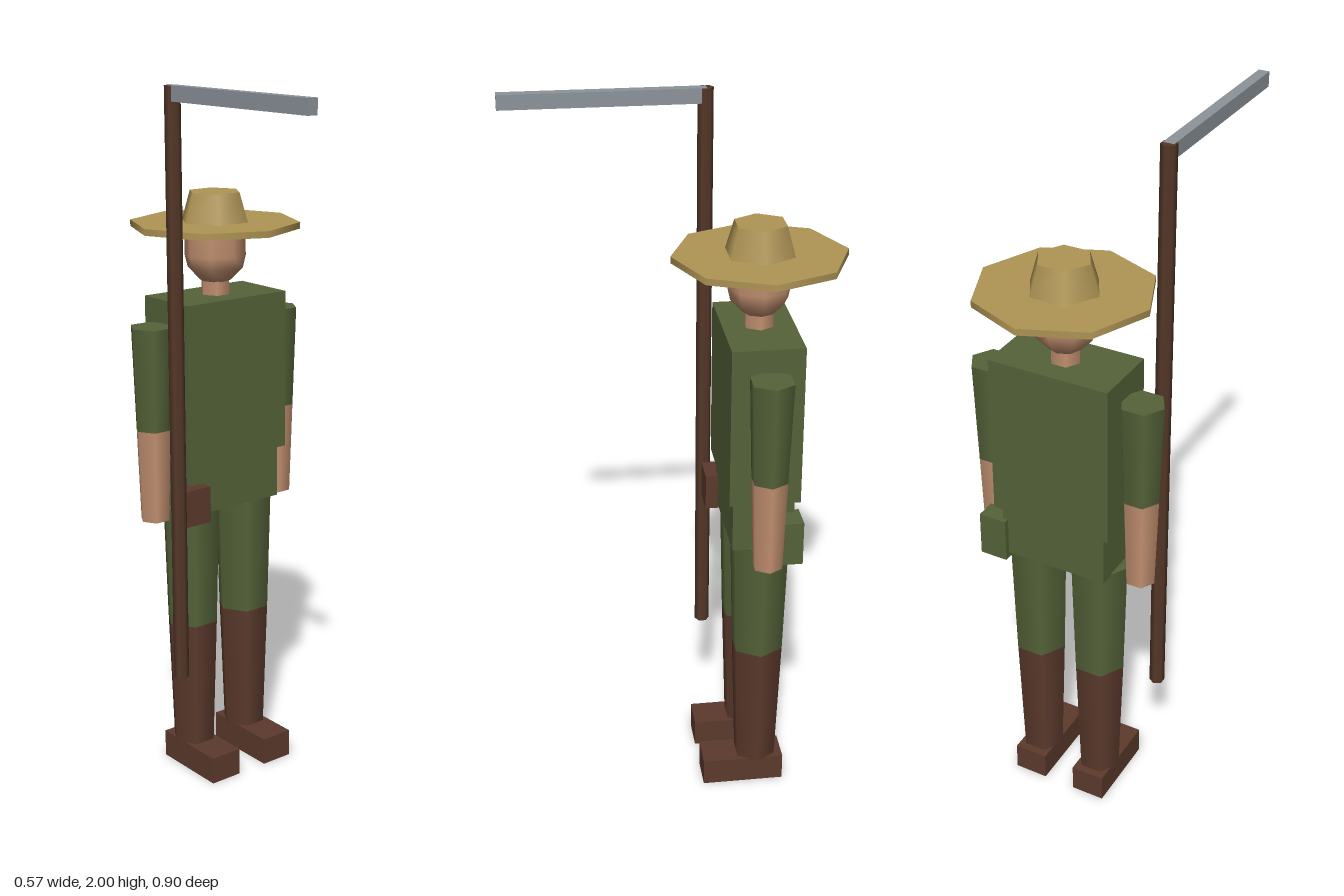
import * as THREE from 'three';

export function createModel() {
  const model = new THREE.Group();
  const mat = (name, color) => {
    const m = new THREE.MeshStandardMaterial({ color });
    m.name = name;
    return m;
  };
  const green = mat('olive cloth', 0x556339);
  const skin = mat('skin', 0xc29070);
  const straw = mat('straw', 0xb09555);
  const leather = mat('leather', 0x5c3a2c);
  const wood = mat('dark wood', 0x553828);
  const steel = mat('steel', 0x8c949a);
  const Z = -0.213; // depth of the body axis

  const add = (name, geometry, material, x, y, z) => {
    const mesh = new THREE.Mesh(geometry, material);
    mesh.name = name;
    mesh.position.set(x, y, z);
    model.add(mesh);
    return mesh;
  };
  // Box given by its lower and upper y and its centre in x and z
  const box = (name, material, w, d, y0, y1, x, z) =>
    add(name, new THREE.BoxGeometry(w, y1 - y0, d), material, x, (y0 + y1) / 2, z);
  // Tapered prism; turn sets where its corners point
  const taper = (name, material, rTop, rBottom, y0, y1, x, z = Z, sides = 6, turn = Math.PI / 6) => {
    const g = new THREE.CylinderGeometry(rTop, rBottom, y1 - y0, sides).rotateY(turn);
    return add(name, g, material, x, (y0 + y1) / 2, z);
  };

  // Trunk
  box('torso', green, 0.346, 0.196, 0.96, 1.415, 0, -0.212);
  box('hips', green, 0.31, 0.17, 0.81, 0.96, 0, -0.212);

  // Limbs, mirrored
  for (const [side, s] of [['left', 1], ['right', -1]]) {
    taper(side + 'Sleeve', green, 0.062, 0.052, 1.06, 1.35, s * 0.221);
    taper(side + 'Forearm', skin, 0.052, 0.043, 0.795, 1.06, s * 0.221);
    taper(side + 'Thigh', green, 0.087, 0.077, 0.46, 0.815, s * 0.095);
    taper(side + 'Legging', leather, 0.077, 0.063, 0.075, 0.465, s * 0.095);
    box(side + 'Shoe', leather, 0.098, 0.236, 0, 0.08, s * 0.096, -0.173);
  }

  // Head and neck
  taper('neck', skin, 0.042, 0.042, 1.4, 1.47, 0);
  const headProfile = [[0, 1.44], [0.045, 1.455], [0.078, 1.49], [0.086, 1.525], [0.085, 1.61]]
    .map(([r, y]) => new THREE.Vector2(r, y));
  add('head', new THREE.LatheGeometry(headProfile, 8), skin, 0, 0, Z);

  // Hat
  taper('hatBrim', straw, 0.237, 0.237, 1.6, 1.618, 0, Z, 8, 0);
  taper('hatCrown', straw, 0.074, 0.101, 1.61, 1.7, 0);

  // Belt pouches
  box('frontPouch', leather, 0.09, 0.06, 0.795, 0.9, -0.161, -0.122);
  box('rearPouch', green, 0.08, 0.066, 0.793, 0.92, 0.18, -0.279);

  // Long scythe
  taper('scythePole', wood, 0.0215, 0.0215, 0.35, 2, -0.222, -0.098, 6, 0);
  box('scytheBlade', steel, 0.03, 0.55, 1.96, 2.0005, -0.221, 0.175);

  return model;
}
